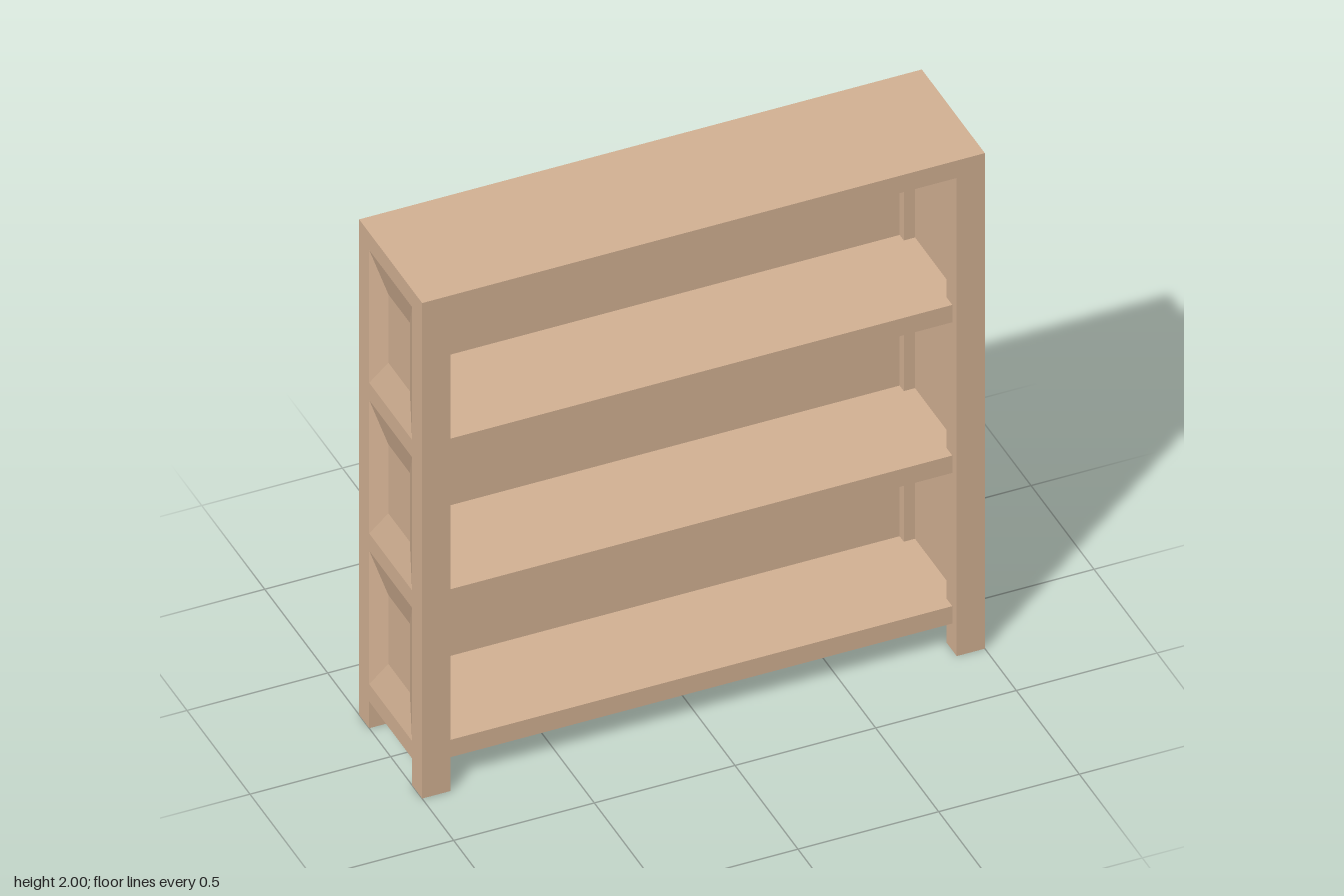
import * as THREE from 'three';

const material = new THREE.MeshStandardMaterial({ color: 0xd4b294, flatShading: true });

// Shelf heights (undersides); the last is the top board
const T = 0.07;
const levels = [0.108, 0.716, 1.324, 1.93];
const POST_Z = 0.17; // inner face of the posts in z
const POST_X = 0.9;  // inner face of the posts in x
const SIDE_X = 0.94; // inner face of the side panels

// Box given by its extents
function box(parent, name, x0, x1, y0, y1, z0, z1) {
  const mesh = new THREE.Mesh(new THREE.BoxGeometry(x1 - x0, y1 - y0, z1 - z0), material);
  mesh.position.set((x0 + x1) / 2, (y0 + y1) / 2, (z0 + z1) / 2);
  mesh.name = name;
  parent.add(mesh);
  return mesh;
}

// Four sloping bevels running from an outer rectangle in to a smaller, deeper one (facing +x)
function bevelGeometry(y0, y1, halfZ, insetY, insetZ, xOut, xIn) {
  const ring = (x, a, b, h) => [[x, a, h], [x, a, -h], [x, b, -h], [x, b, h]];
  const outer = ring(xOut, y0, y1, halfZ);
  const inner = ring(xIn, y0 + insetY, y1 - insetY, halfZ - insetZ);
  const positions = [];
  for (let i = 0; i < 4; i++) {
    const j = (i + 1) % 4;
    positions.push(...outer[i], ...outer[j], ...inner[j], ...outer[i], ...inner[j], ...inner[i]);
  }
  const geometry = new THREE.BufferGeometry();
  geometry.setAttribute('position', new THREE.Float32BufferAttribute(positions, 3));
  geometry.computeVertexNormals();
  return geometry;
}

// One end of the bookcase: two posts, flush rails and three bevelled panels
function createSide(name) {
  const side = new THREE.Group();
  side.name = name;
  const recessX = 0.97;
  box(side, 'frontPost', POST_X, 1, 0, levels[3], POST_Z, 0.25);
  box(side, 'backPost', POST_X, 1, 0, levels[3], -0.25, -POST_Z);
  box(side, 'sidePanel', SIDE_X, recessX, levels[0], levels[3], -POST_Z, POST_Z);
  for (let i = 0; i < 3; i++) {
    box(side, 'sideRail', recessX, 1, levels[i], levels[i] + T, -POST_Z, POST_Z);
    const bevel = new THREE.Mesh(
      bevelGeometry(levels[i] + T, levels[i + 1], POST_Z, 0.13, 0.085, 1, recessX), material);
    bevel.name = 'panelBevel';
    side.add(bevel);
  }
  return side;
}

export function createModel() {
  const bookcase = new THREE.Group();
  bookcase.name = 'bookcase';

  // Ends
  const left = createSide('leftSide');
  const right = createSide('rightSide');
  right.rotation.y = Math.PI;
  bookcase.add(left, right);

  // Top board
  box(bookcase, 'topBoard', -1, 1, levels[3], 2, -0.25, 0.25);

  // Shelves, back rails and back panels
  for (let i = 0; i < 3; i++) {
    const y = levels[i];
    box(bookcase, 'shelf', -SIDE_X, SIDE_X, y, y + T, -POST_Z, POST_Z);
    box(bookcase, 'shelfFront', -POST_X, POST_X, y, y + T, POST_Z, 0.215);
    box(bookcase, 'backRail', -POST_X, POST_X, y, y + T, -0.25, -POST_Z);
    box(bookcase, 'backPanel', -POST_X, POST_X, y + T, levels[i + 1], -0.23, -0.203);
  }
  return bookcase;
}
